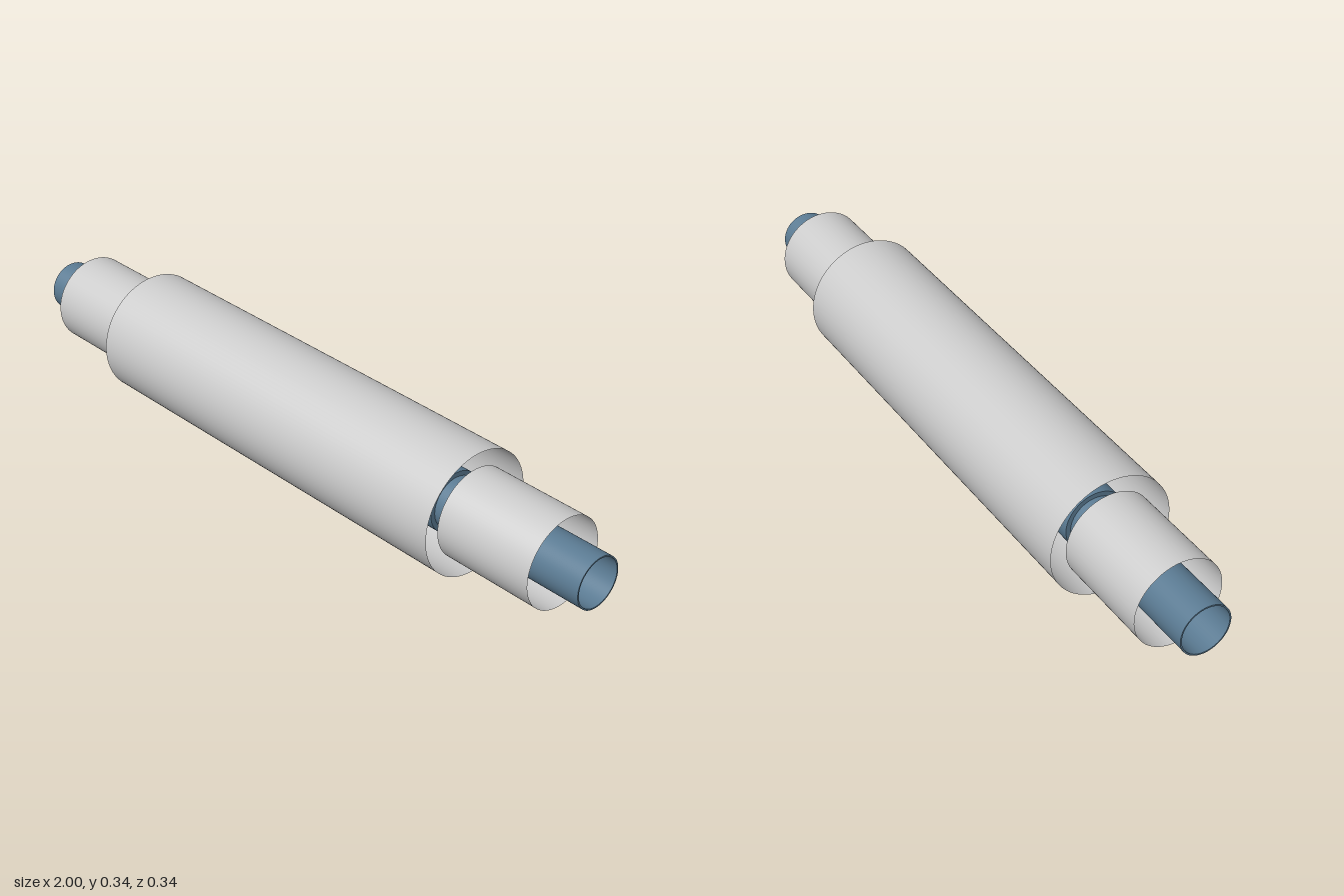
import * as THREE from 'three';

const AXIS_Y = 0.17;
const SEGMENTS = 96;

const shellMaterial = new THREE.MeshStandardMaterial({ color: 0xcccccc, side: THREE.DoubleSide });
const pipeMaterial = new THREE.MeshStandardMaterial({ color: 0x5b7b93, side: THREE.DoubleSide });

// Thin open sleeve lying along x from x0 to x1
function sleeve(name, radius, x0, x1) {
  const geometry = new THREE.CylinderGeometry(radius, radius, x1 - x0, SEGMENTS, 1, true);
  geometry.rotateZ(-Math.PI / 2);
  const mesh = new THREE.Mesh(geometry, shellMaterial);
  mesh.name = name;
  mesh.position.set((x0 + x1) / 2, AXIS_Y, 0);
  return mesh;
}

// Thick-walled pipe centred on x = 0, with flat ring ends
function pipe(name, outer, inner, length) {
  const shape = new THREE.Shape().absarc(0, 0, outer, 0, Math.PI * 2);
  shape.holes.push(new THREE.Path().absarc(0, 0, inner, 0, Math.PI * 2, true));
  const geometry = new THREE.ExtrudeGeometry(shape, {
    depth: length, bevelEnabled: false, curveSegments: SEGMENTS,
  });
  geometry.translate(0, 0, -length / 2).rotateY(Math.PI / 2);
  const mesh = new THREE.Mesh(geometry, pipeMaterial);
  mesh.name = name;
  mesh.position.y = AXIS_Y;
  return mesh;
}

export function createModel() {
  const model = new THREE.Group();
  model.name = 'sleevedPipe';

  // Large casing around the middle
  model.add(sleeve('outerCasing', 0.169, -0.618, 0.618));

  // Smaller sleeves at both ends
  model.add(sleeve('leftEndSleeve', 0.122, 0.61, 0.895));
  model.add(sleeve('rightEndSleeve', 0.122, -0.895, -0.61));

  // Through pipe and the thicker pipe around it inside the casing
  model.add(pipe('innerPipe', 0.07, 0.066, 2));
  model.add(pipe('pipeJacket', 0.083, 0.07, 1.1));

  return model;
}
